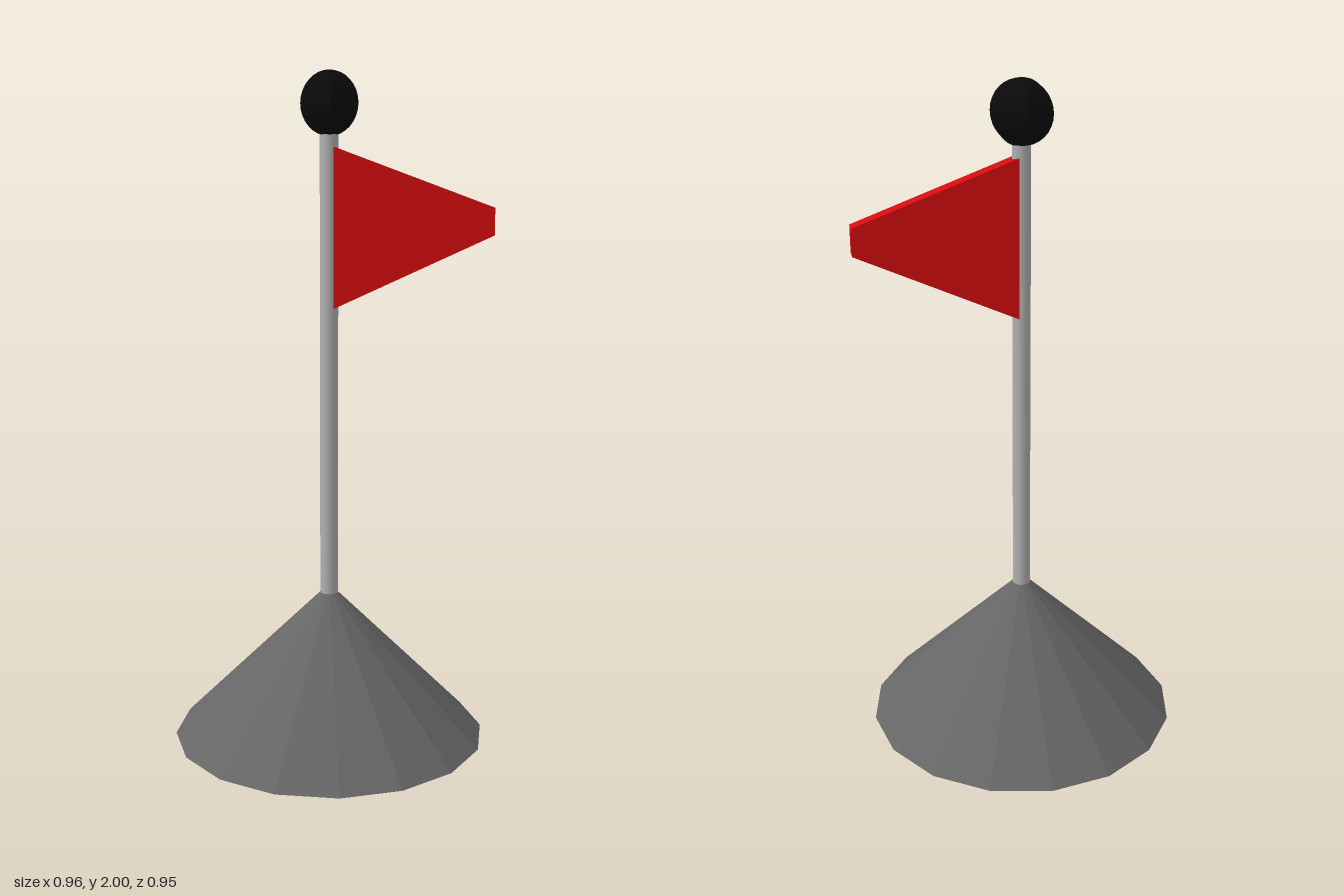
import * as THREE from 'three';

const AXIS = -0.006; // the pole stands slightly off centre so the flag fits the bounds

function part(name, geometry, color, flatShading = true) {
  const mesh = new THREE.Mesh(geometry, new THREE.MeshStandardMaterial({ color, flatShading }));
  mesh.name = name;
  return mesh;
}

export function createModel() {
  const model = new THREE.Group();
  model.name = 'flagMarker';

  // Sixteen-sided conical foot, its tip hidden inside the pole
  const base = part('base', new THREE.ConeGeometry(0.474, 0.474, 16), 0x666666);
  base.position.set(AXIS, 0.237, 0);

  // Slim pole running from the ground into the ball
  const pole = part('pole', new THREE.CylinderGeometry(0.027, 0.027, 1.86, 16), 0xb0b0b0, false);
  pole.position.set(AXIS, 0.93, 0);

  // Six-sided ball with corners towards front and back
  const ball = part('ball', new THREE.SphereGeometry(0.093, 6, 16), 0x0a0a0a);
  ball.rotation.y = Math.PI / 2;
  ball.position.set(AXIS, 1.907, 0);

  // Thick tapering pennant
  const outline = new THREE.Shape([
    new THREE.Vector2(0.005, 1.318),
    new THREE.Vector2(0.476, 1.53),
    new THREE.Vector2(0.476, 1.61),
    new THREE.Vector2(0.005, 1.785),
  ]);
  const flagGeometry = new THREE.ExtrudeGeometry(outline, { depth: 0.05, bevelEnabled: false });
  flagGeometry.translate(0, 0, -0.025);
  const flag = part('flag', flagGeometry, 0xd40c10);

  model.add(base, pole, ball, flag);
  return model;
}
